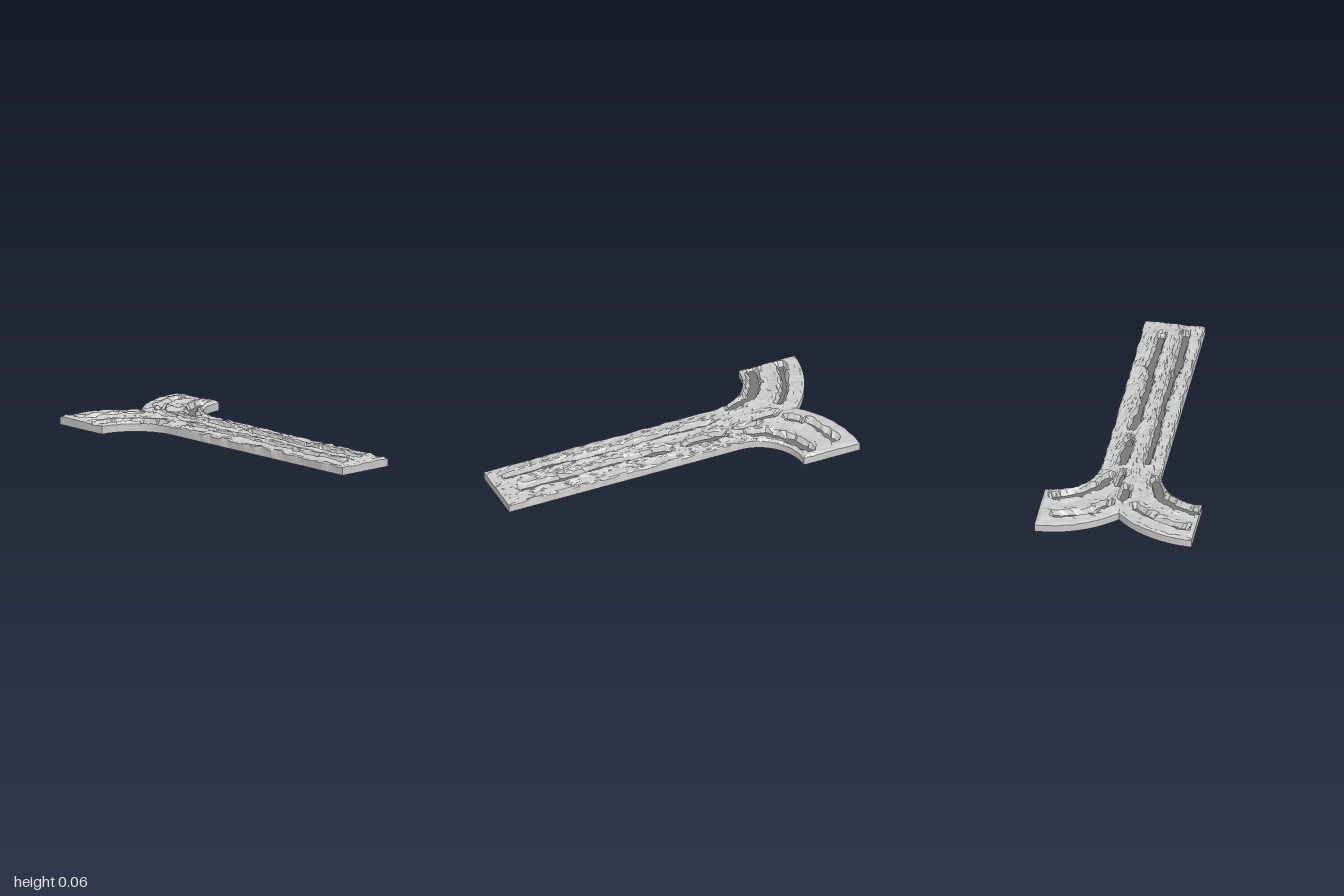
import * as THREE from 'three';

const STEM = 0.17, ARM = 0.44, BEND_Z = -0.39, R_IN = 0.27, R_OUT = 0.61;
const NOTCH = Math.acos(ARM / R_OUT);     // angle where the two arms part
const STEM_ROWS = 64, ARM_ROWS = 18, COLS = 20;
const ROWS = STEM_ROWS + 2 * ARM_ROWS, NOTCH_ROW = STEM_ROWS + ARM_ROWS;
const FLOOR = 0.025;

// Wheel ruts: half width followed by x, z pairs along the path
const RUTS = [
  [0.015, -0.07, -0.32, -0.075, 0, -0.065, 0.25, -0.07, 0.52],
  [0.019, -0.085, 0.56, -0.08, 0.72, -0.075, 0.9],
  [0.023, 0.06, -0.34, 0.06, -0.13],
  [0.025, 0.06, 0, 0.055, 0.12],
  [0.017, 0.05, 0.1, 0.045, 0.4, 0.06, 0.6, 0.055, 0.87],
  [0.022, 0.06, 0.58, 0.06, 0.68],
  [0.028, -0.4, -0.73, -0.31, -0.7, -0.2, -0.62, -0.15, -0.48],
  [0.016, -0.39, -0.9, -0.21, -0.83, -0.08, -0.74],
  [0.026, 0.37, -0.72, 0.24, -0.66, 0.14, -0.56, 0.11, -0.49],
  [0.016, 0.35, -0.89, 0.24, -0.86, 0.14, -0.82],
  [0.02, 0.11, -0.77, 0.06, -0.74],
  [0.022, 0, -0.66, 0, -0.57],
  [0.01, 0.05, -0.56, 0.04, -0.43],
];

function hash(a, b) {
  const s = Math.sin(Math.round(a * 1000) * 12.9898 + Math.round(b * 1000) * 78.233) * 43758.5453;
  return s - Math.floor(s);
}

// Smooth value noise, 0 to 1
function noise(x, z) {
  const i = Math.floor(x), k = Math.floor(z), f = x - i, g = z - k;
  const mix = THREE.MathUtils.lerp;
  return mix(mix(hash(i, k), hash(i + 1, k), f), mix(hash(i, k + 1), hash(i + 1, k + 1), f), g);
}

// Signed distance to the nearest rut edge (negative inside a rut)
function rutDistance(x, z) {
  let best = 1;
  for (const [width, ...p] of RUTS) {
    for (let n = 0; n + 3 < p.length; n += 2) {
      const dx = p[n + 2] - p[n], dz = p[n + 3] - p[n + 1];
      const t = THREE.MathUtils.clamp(((x - p[n]) * dx + (z - p[n + 1]) * dz) / (dx * dx + dz * dz), 0, 1);
      best = Math.min(best, Math.hypot(x - p[n] - t * dx, z - p[n + 1] - t * dz) - width);
    }
  }
  return best + (noise(x * 30, z * 30) - 0.5) * 0.014;
}

// Plan position of a grid point: straight stem rows, then rows fanning round the bend
function plan(side, i, j) {
  const t = j / COLS;
  if (i <= STEM_ROWS) return [side * STEM * t, 1 + (BEND_Z - 1) * i / STEM_ROWS];
  const k = i - STEM_ROWS;
  const angle = k <= ARM_ROWS ? NOTCH * k / ARM_ROWS
    : NOTCH + (Math.PI / 2 - NOTCH) * (k - ARM_ROWS) / ARM_ROWS;
  const outer = k < ARM_ROWS ? ARM / Math.cos(angle) : R_OUT;
  const r = outer + (R_IN - outer) * t;
  const x = k <= ARM_ROWS && j === 0 ? 0 : ARM - r * Math.cos(angle);
  return [side * x, BEND_Z - r * Math.sin(angle)];
}

// Rough mud surface with raised rut shoulders, lower at the rim
function topPoint(side, i, j) {
  let [x, z] = plan(side, i, j);
  const rim = i === 0 || i === ROWS || j === COLS || (j === 0 && i >= NOTCH_ROW);
  const rough = noise(x * 22 + 40, z * 22), fine = hash(x, z);
  if (rim) {
    // Chipped side edges; the three cut ends stay straight
    if (j === COLS && i > 0 && i < STEM_ROWS) x -= side * 0.012 * Math.max(0, rough * 1.6 - 0.6);
    return [x, 0.038 + 0.01 * rough + 0.003 * fine, z];
  }
  const d = rutDistance(x, z);
  if (j > 0) {
    x += (fine - 0.5) * 0.005;
    z += (hash(z, x) - 0.5) * 0.012;
  }
  const shoulder = 0.007 * Math.exp(-(((d - 0.02) / 0.018) ** 2));
  const ground = 0.042 + 0.013 * rough + 0.004 * fine + shoulder;
  const y = THREE.MathUtils.lerp(0.014, ground, THREE.MathUtils.smoothstep(d, -0.006, 0.008));
  return [x, y, z];
}

const basePoint = (side, i, j) => {
  const [x, z] = plan(side, i, j);
  return [x, 0, z];
};
const floorPoint = (side, i, j) => {
  const [x, , z] = topPoint(side, i, j);
  return [x, FLOOR, z];
};

function quad(out, a, b, c, d, flip) {
  if (flip) [b, d] = [d, b];
  out.push(...a, ...b, ...c, ...a, ...c, ...d);
}

// All grid cells of both mirrored halves
function sheet(point, faceDown = false, keep = () => true) {
  const out = [];
  for (const side of [1, -1]) {
    for (let i = 0; i < ROWS; i++) {
      for (let j = 0; j < COLS; j++) {
        const cell = [[i, j], [i, j + 1], [i + 1, j + 1], [i + 1, j]];
        if (!keep(side, cell)) continue;
        quad(out, ...cell.map(([a, b]) => point(side, a, b)), (side < 0) !== faceDown);
      }
    }
  }
  return out;
}

// Vertical rim around both halves
function walls() {
  const path = [], out = [];
  for (let j = 0; j < COLS; j++) path.push([0, j]);
  for (let i = 0; i < ROWS; i++) path.push([i, COLS]);
  for (let j = COLS; j > 0; j--) path.push([ROWS, j]);
  for (let i = ROWS; i >= NOTCH_ROW; i--) path.push([i, 0]);
  for (const side of [1, -1]) {
    for (let n = 0; n + 1 < path.length; n++) {
      const p = path[n], q = path[n + 1];
      quad(out, basePoint(side, ...p), basePoint(side, ...q), topPoint(side, ...q), topPoint(side, ...p), side < 0);
    }
  }
  return out;
}

function makeMesh(name, positions, color) {
  const geometry = new THREE.BufferGeometry();
  geometry.setAttribute('position', new THREE.Float32BufferAttribute(positions, 3));
  geometry.computeVertexNormals();
  const mesh = new THREE.Mesh(geometry, new THREE.MeshStandardMaterial({ color, flatShading: true }));
  mesh.name = name;
  return mesh;
}

export function createModel() {
  const group = new THREE.Group();
  group.name = 'forkedDirtTrack';
  const inRut = (side, cell) => cell.some(([i, j]) => topPoint(side, i, j)[1] < FLOOR);
  group.add(
    makeMesh('trackSurface', sheet(topPoint), 0xcccccc),
    makeMesh('trackWalls', walls(), 0xcccccc),
    makeMesh('trackUnderside', sheet(basePoint, true), 0xcccccc),
    makeMesh('rutFloors', sheet(floorPoint, false, inRut), 0x787878),
  );
  return group;
}
